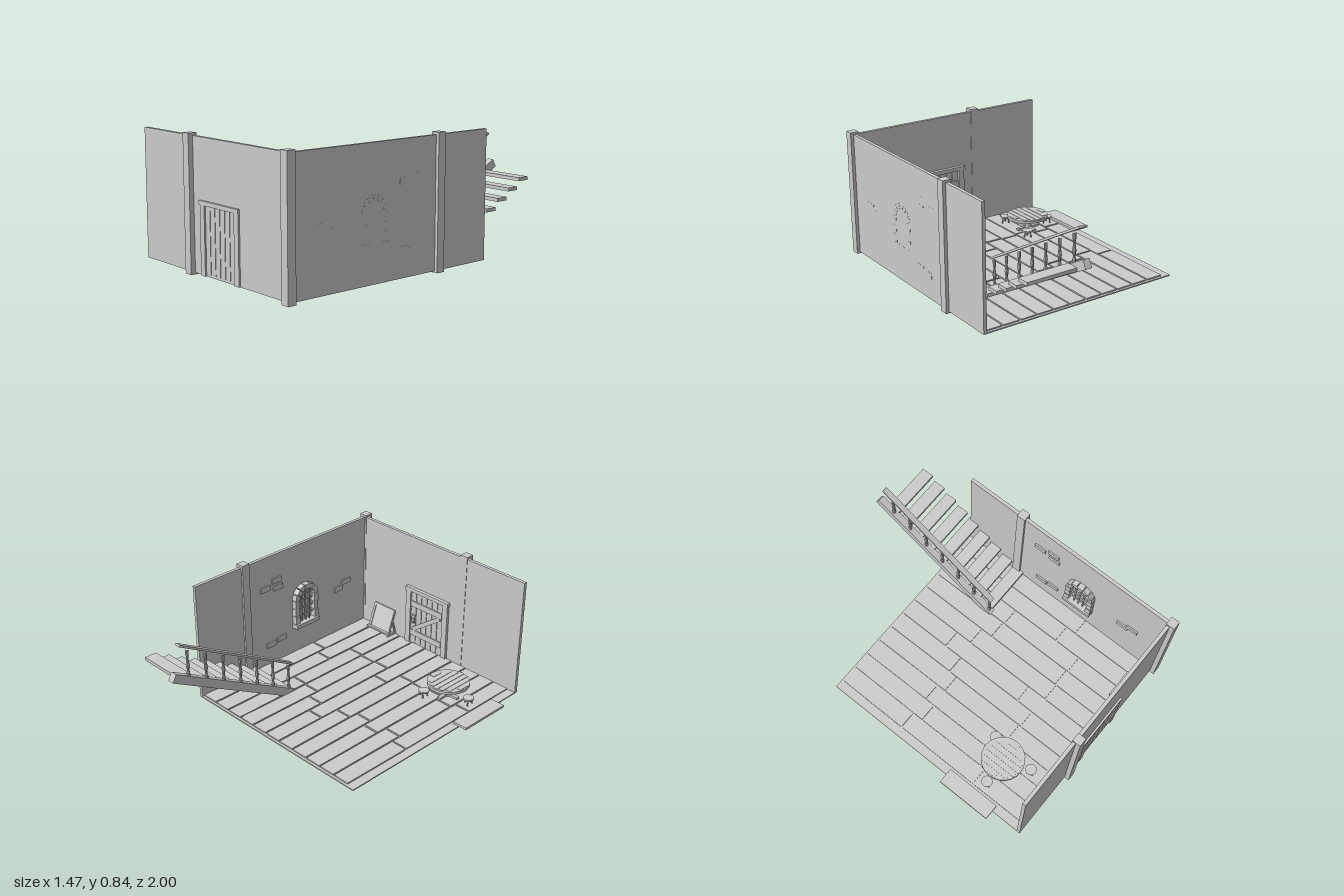
import * as THREE from 'three';

const mat = new THREE.MeshStandardMaterial({ color: 0xcccccc, flatShading: true });

let seed = 7;
const rand = () => { seed = (seed * 16807) % 2147483647; return seed / 2147483647 - 0.5; };

function add(parent, name, geo, x = 0, y = 0, z = 0) {
  const m = new THREE.Mesh(geo, mat);
  m.name = name;
  m.position.set(x, y, z);
  parent.add(m);
  return m;
}
// box given by its min and max on each axis
function span(parent, name, x0, x1, y0, y1, z0, z1) {
  return add(parent, name, new THREE.BoxGeometry(x1 - x0, y1 - y0, z1 - z0),
    (x0 + x1) / 2, (y0 + y1) / 2, (z0 + z1) / 2);
}
// box stretched between two points in a plane of constant x
function beam(parent, name, x, w, t, y0, z0, y1, z1) {
  const m = add(parent, name, new THREE.BoxGeometry(w, t, Math.hypot(y1 - y0, z1 - z0)),
    x, (y0 + y1) / 2, (z0 + z1) / 2);
  m.rotation.x = -Math.atan2(y1 - y0, z1 - z0);
  return m;
}
function group(parent, name, x = 0, y = 0, z = 0) {
  const g = new THREE.Group();
  g.name = name;
  g.position.set(x, y, z);
  parent.add(g);
  return g;
}

// Floor slab with staggered, slightly uneven planks
function buildFloor(root) {
  const g = group(root, 'floor');
  span(g, 'floorBase', -0.675, 0.7, 0.03, 0.038, -0.525, 0.965);
  const joints = [[-0.02, 0.56], [0.05, 0.52], [-0.02, 0.57], [0.04, 0.55], [-0.02, 0.56], [-0.15, 0.44],
    [-0.04, 0.57], [0.04, 0.56], [0.05, 0.57], [-0.09, 0.38], [-0.09, 0.45]];
  joints.forEach((j, i) => {
    const x0 = -0.622 + i * 0.1195;
    const ends = [-0.515, ...j, 0.947];
    for (let k = 0; k < 3; k++) {
      const m = span(g, 'floorPlank', x0 + 0.005, x0 + 0.1145, 0.029, 0.046, ends[k] + 0.006, ends[k + 1] - 0.006);
      m.rotation.y = rand() * 0.012;
      m.position.y += rand() * 0.002;
    }
  });
  span(g, 'doorstepSlab', -0.738, -0.635, 0.042, 0.058, 0.39, 0.757);
}

// Two walls with square posts
function buildWalls(root) {
  const g = group(root, 'walls');
  span(g, 'doorWall', -0.675, 0.713, 0.03, 0.83, 0.947, 0.97);
  span(g, 'windowWall', 0.692, 0.714, 0.03, 0.83, -0.525, 0.965);
  for (const [x, z] of [[-0.192, 0.972], [0.707, 0.972], [0.707, -0.13]])
    span(g, 'post', x - 0.028, x + 0.028, 0.02, 0.845, z - 0.028, z + 0.028);
  // loose bricks showing through the plaster: z, y
  const bricks = [[0.03, 0.61], [0.13, 0.645], [0.14, 0.59], [0.69, 0.375], [0.76, 0.41],
    [0.07, 0.185], [0.16, 0.2]];
  for (const [z, y] of bricks)
    span(g, 'wallBrick', 0.682, 0.7148, y - 0.018, y + 0.018, z - 0.04, z + 0.04);
}

// Plank door with frame, ledges and brace
function buildDoor(root) {
  const g = group(root, 'door');
  for (const x of [-0.07, 0.255])
    span(g, 'doorJamb', x - 0.021, x + 0.021, 0.03, 0.445, 0.928, 0.98);
  span(g, 'doorLintel', -0.097, 0.277, 0.442, 0.468, 0.922, 0.983);
  for (let i = 0; i < 6; i++) {
    const x = -0.047 + i * 0.047;
    span(g, 'doorBoard', x + 0.002, x + 0.045, 0.045, 0.44, 0.938, 0.973);
  }
  for (const y of [0.13, 0.35]) span(g, 'doorLedge', -0.045, 0.23, y - 0.02, y + 0.02, 0.929, 0.94);
  const brace = add(g, 'doorBrace', new THREE.BoxGeometry(0.29, 0.03, 0.01), 0.092, 0.24, 0.934);
  brace.rotation.z = -0.62;
  span(g, 'handlePlate', 0.19, 0.215, 0.21, 0.27, 0.925, 0.94);
  add(g, 'handleRing', new THREE.TorusGeometry(0.016, 0.004, 6, 12), 0.202, 0.232, 0.92);
}

// Arched stone window with bars
function buildWindow(root) {
  const g = group(root, 'window');
  const cz = 0.368, cy = 0.44, r0 = 0.066, r1 = 0.102;
  for (let i = 0; i < 7; i++) {
    const a0 = (i + 0.06) * Math.PI / 7, a1 = (i + 0.94) * Math.PI / 7;
    const s = new THREE.Shape();
    s.moveTo(r0 * Math.cos(a0), r0 * Math.sin(a0));
    s.lineTo(r1 * Math.cos(a0), r1 * Math.sin(a0));
    s.lineTo(r1 * Math.cos(a1), r1 * Math.sin(a1));
    s.lineTo(r0 * Math.cos(a1), r0 * Math.sin(a1));
    const geo = new THREE.ExtrudeGeometry(s, { depth: 0.0588 + 0.005 * (i % 2), bevelEnabled: false });
    const m = add(g, 'archStone', geo, 0.7148, cy, cz);
    m.rotation.y = -Math.PI / 2;
  }
  for (const side of [-1, 1])
    for (let k = 0; k < 3; k++) {
      const z = cz + side * 0.084, y = 0.265 + k * 0.058;
      span(g, 'jambStone', 0.655 + 0.004 * (k % 2), 0.7148, y + 0.002, y + 0.056, z - 0.018, z + 0.018);
    }
  span(g, 'windowSill', 0.645, 0.7148, 0.235, 0.264, cz - 0.105, cz + 0.105);
  for (const dz of [-0.033, 0, 0.033])
    span(g, 'windowBar', 0.672, 0.68, 0.264, dz ? 0.498 : 0.506, cz + dz - 0.004, cz + dz + 0.004);
  for (const y of [0.31, 0.365, 0.42, 0.465])
    span(g, 'windowCrossbar', 0.674, 0.682, y - 0.004, y + 0.004, cz - 0.066, cz + 0.066);
}

// Open staircase with one stringer and a turned balustrade
function buildStairs(root) {
  const g = group(root, 'stairs');
  beam(g, 'stringer', 0.348, 0.044, 0.056, 0.034, -0.075, 0.537, -0.987);
  for (let i = 0; i < 9; i++) {
    const z = -0.885 + i * 0.096, y = 0.486 - i * 0.053;
    span(g, 'tread', 0.365, 0.7, y - 0.011, y + 0.011, z - 0.04, z + 0.04);
  }
  beam(g, 'handrail', 0.348, 0.036, 0.014, 0.25, -0.07, 0.733, -0.932);
  const h = 0.18;
  const profile = [[0.011, 0], [0.011, 0.15], [0.006, 0.2], [0.012, 0.42], [0.006, 0.68], [0.01, 0.8], [0.01, 1]]
    .map(([r, t]) => new THREE.Vector2(r, t * h));
  const geo = new THREE.LatheGeometry(profile, 8);
  for (let i = 0; i < 7; i++) {
    const z = -0.87 + i * 0.13;
    add(g, 'baluster', geo, 0.348, 0.018 - 0.552 * z, z);
  }
}

// Round table with a slatted top, and three stools
function buildFurniture(root) {
  const t = group(root, 'table', -0.395, 0.046, 0.614);
  add(t, 'tableTop', new THREE.CylinderGeometry(0.138, 0.138, 0.018, 24), 0, 0.093, 0);
  for (let i = -3; i <= 3; i++) {
    const x = i * 0.037;
    add(t, 'tableSlat', new THREE.BoxGeometry(0.033, 0.004, 2 * Math.sqrt(0.0174 - (Math.abs(x) + 0.0165) ** 2)),
      x, 0.103, 0);
  }
  add(t, 'tableStem', new THREE.CylinderGeometry(0.022, 0.028, 0.084, 10), 0, 0.042, 0);
  for (const a of [0, Math.PI / 2]) {
    const foot = add(t, 'tableFoot', new THREE.BoxGeometry(0.17, 0.015, 0.024), 0, 0.008, 0);
    foot.rotation.y = a;
  }
  for (const [x, z] of [[-0.56, 0.62], [-0.303, 0.484], [-0.33, 0.785]]) {
    const s = group(root, 'stool', x, 0.046, z);
    add(s, 'stoolSeat', new THREE.CylinderGeometry(0.036, 0.034, 0.012, 14), 0, 0.044, 0);
    for (let k = 0; k < 3; k++) {
      const pivot = group(s, 'stoolLegMount');
      pivot.rotation.y = k * Math.PI * 2 / 3;
      const leg = add(pivot, 'stoolLeg', new THREE.CylinderGeometry(0.005, 0.004, 0.042, 6), 0.022, 0.02, 0);
      leg.rotation.z = 0.2;
    }
  }
}

// Framed board leaning on the wall, held by side feet
function buildBoard(root) {
  const g = group(root, 'leaningBoard', 0.478, 0.046, 0.88);
  const tilt = group(g, 'boardFrame');
  tilt.rotation.x = 0.34;
  span(tilt, 'boardPanel', -0.08, 0.08, 0.01, 0.18, -0.004, 0.004);
  for (const s of [-1, 1]) {
    add(tilt, 'boardStile', new THREE.BoxGeometry(0.016, 0.19, 0.018), s * 0.085, 0.095, 0);
    span(g, 'boardFoot', s * 0.096 - 0.006, s * 0.096 + 0.006, 0, 0.014, -0.015, 0.068);
    beam(g, 'boardStrut', s * 0.096, 0.01, 0.012, 0.01, 0.062, 0.1, 0.034);
  }
  for (const y of [0.012, 0.182]) add(tilt, 'boardRail', new THREE.BoxGeometry(0.186, 0.016, 0.02), 0, y, 0);
  span(g, 'boardLedge', -0.1, 0.1, 0.012, 0.024, -0.015, 0.005);
}

export function createModel() {
  const root = new THREE.Group();
  root.name = 'room';
  buildFloor(root);
  buildWalls(root);
  buildDoor(root);
  buildWindow(root);
  buildStairs(root);
  buildFurniture(root);
  buildBoard(root);
  return root;
}
